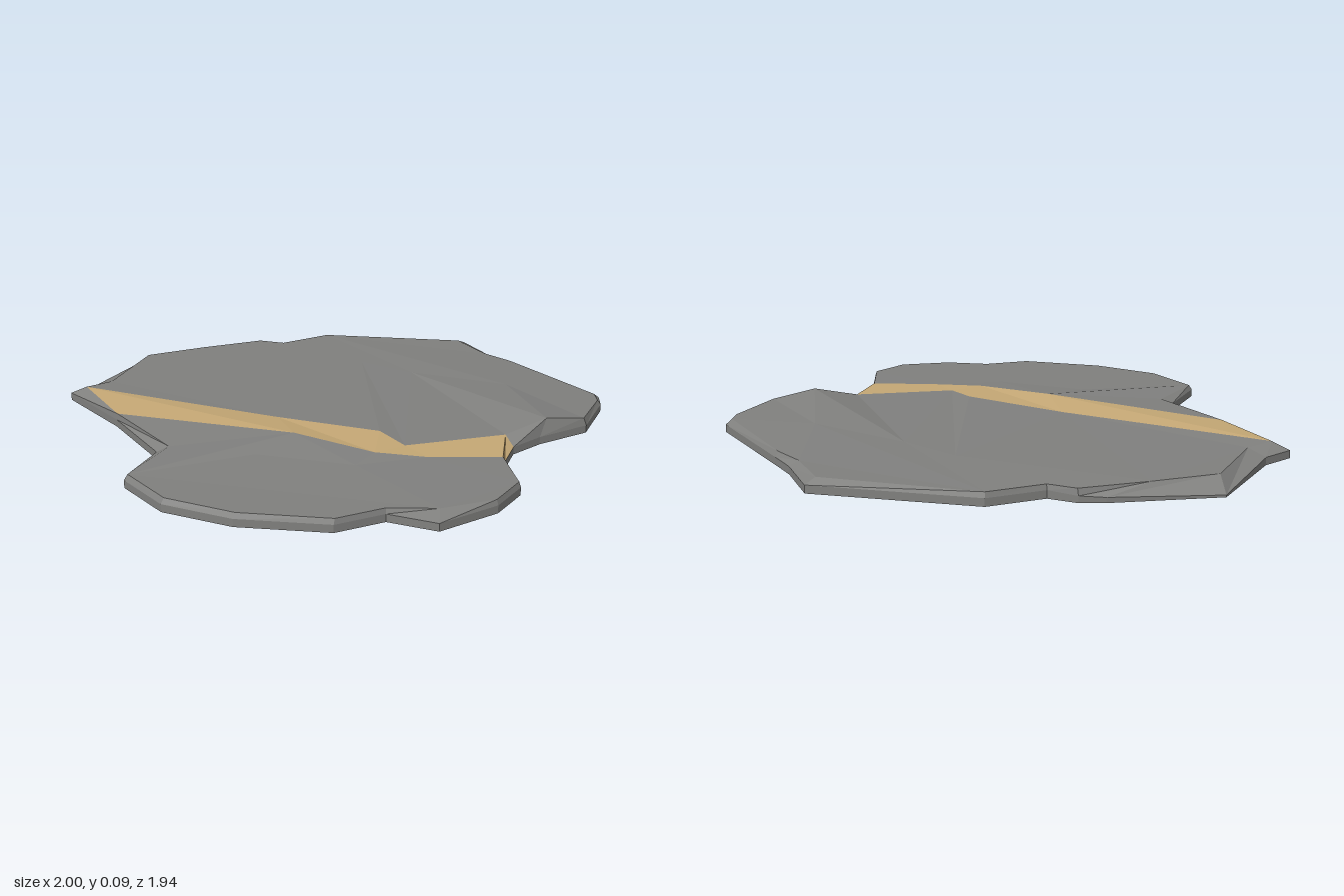
import * as THREE from 'three';

const v = (x, y, z) => new THREE.Vector3(x, y, z);

// Outer outline (x, z), clockwise from above
const OUTLINE = [
  [-1, -0.62], [-0.88, -0.68], [-0.61, -0.975], [-0.2, -0.945], [-0.11, -0.925],
  [-0.02, -0.86], [0.2, -0.895], [0.765, -0.635], [0.8, -0.42], [0.84, -0.3],
  [1, 0.16], [0.97, 0.23], [0.81, 0.4], [0.59, 0.44], [0.455, 0.49],
  [0.365, 0.6], [0.325, 0.81], [0.19, 0.91], [-0.05, 0.965], [-0.19, 0.84],
  [-0.38, 0.855], [-0.68, 0.7], [-0.88, 0.51], [-0.96, 0.28], [-0.8, 0.08],
  [-0.88, -0.28],
];
// Outline corners whose shoulder drops lower
const LOW_SHOULDER = { 2: 0.008, 3: 0.02, 4: 0.025 };
// Top corners chipped further in, or raised; the rest follow the outline closely
const CHIPPED = {
  0: v(-0.94, 0.06, -0.59), 1: v(-0.83, 0.055, -0.63), 2: v(-0.62, 0.055, -0.89),
  3: v(-0.37, 0.053, -0.91), 7: v(0.725, 0.05, -0.615), 8: v(0.765, 0.05, -0.42),
  10: v(0.975, 0.05, 0.165), 12: v(0.8, 0.06, 0.395), 13: v(0.63, 0.09, 0.41),
  14: v(0.455, 0.052, 0.42), 18: v(-0.02, 0.05, 0.9), 24: v(-0.755, 0.05, 0.09),
  25: v(-0.875, 0.055, -0.275),
};
const base = OUTLINE.map(([x, z]) => v(x, 0, z));
const shoulder = OUTLINE.map(([x, z], i) => v(x, LOW_SHOULDER[i] ?? 0.03, z));
const top = OUTLINE.map(([x, z], i) => CHIPPED[i] ?? v(x * 0.985, 0.05, z * 0.993));

// Triangulates an outline seen from above; faces up, or down when asked
function patch(points, down = false) {
  const flat = points.map(p => new THREE.Vector2(p.x, p.z));
  const tris = [];
  for (const [i, j, k] of THREE.ShapeUtils.triangulateShape(flat, [])) {
    const [a, b, c] = [points[i], points[j], points[k]];
    const up = b.clone().sub(a).cross(c.clone().sub(a)).y > 0;
    tris.push(...(up !== down ? [a, b, c] : [a, c, b]));
  }
  return tris;
}

// Outward wall between two rings, over the chosen segments
function wall(low, high, keep = () => true) {
  const tris = [];
  low.forEach((a, i) => {
    if (!keep(i)) return;
    const j = (i + 1) % low.length;
    tris.push(low[j], a, high[i], low[j], high[i], high[j]);
  });
  return tris;
}

export function createModel() {
  const group = new THREE.Group();
  const stone = new THREE.MeshStandardMaterial({ color: 0x80807e });
  stone.name = 'grey stone';
  const sand = new THREE.MeshStandardMaterial({ color: 0xc5a875 });
  sand.name = 'sandy path';

  const add = (name, tris, material) => {
    const geometry = new THREE.BufferGeometry().setFromPoints(tris);
    geometry.computeVertexNormals(); // unshared corners give flat facets
    const mesh = new THREE.Mesh(geometry, material);
    mesh.name = name;
    group.add(mesh);
  };

  // Corners of the path, back edge then front edge
  const back = [v(-0.3, 0.055, -0.03), v(0.015, 0.063, 0.25), v(0.06, 0.055, 0.39)];
  const front = [v(-0.3, 0.074, 0.18), v(-0.07, 0.06, 0.42), v(0.1, 0.053, 0.51)];
  // Creases in the rock
  const creaseA = v(0.22, 0.055, -0.5), creaseB = v(0.37, 0.056, -0.3);
  const ridge = v(0.67, 0.065, -0.02);
  const slopeA = v(-0.17, 0.055, 0.49), slopeB = v(-0.48, 0.056, 0.28);

  // Path strips from the left edge to the front edge
  const backEdge = [top[0], ...back, top[14]];
  const frontEdge = [top[25], ...front, top[15]];
  add('path', backEdge.slice(1).flatMap((p, i) =>
    patch([backEdge[i], p, frontEdge[i + 1], frontEdge[i]])), sand);
  add('pathEnd', wall(shoulder, top, i => i === 14), sand);

  add('backRock', [
    ...patch([...top.slice(0, 7), creaseA, back[1], back[0]]),
    ...patch([...top.slice(6, 10), ridge, creaseB, creaseA]),
    ...patch([creaseA, creaseB, back[2], back[1]]),
    ...patch([creaseB, ridge, top[13], top[14], back[2]]),
    ...patch([ridge, ...top.slice(9, 14)]),
  ], stone);

  add('frontRock', [
    ...patch([front[0], front[1], slopeA, slopeB]),
    ...patch([...top.slice(15), front[0], slopeB, slopeA, front[1], front[2]]),
  ], stone);

  add('bevel', wall(shoulder, top, i => i !== 14), stone);
  add('sides', wall(base, shoulder), stone);
  add('underside', patch(base, true), stone);
  return group;
}
